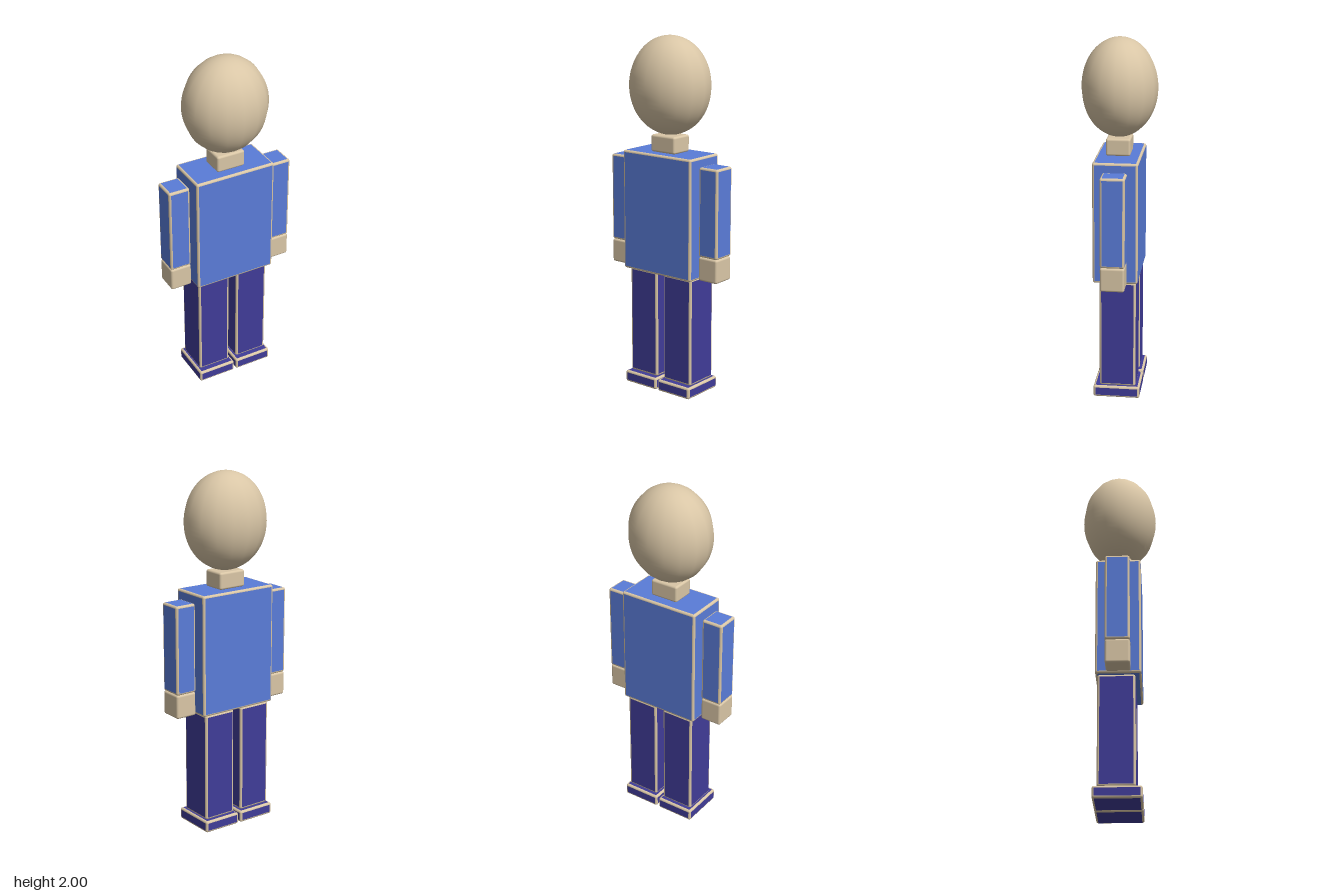
import * as THREE from 'three';
import { RoundedBoxGeometry } from 'three/addons/geometries/RoundedBoxGeometry.js';

const BEVEL = 0.012;

const material = (name, color) => {
  const m = new THREE.MeshStandardMaterial({ color });
  m.name = name;
  return m;
};

// Rounded box between two corners; group 0 is the flat faces, group 1 the rounded edges
function bevelledBox(name, [x0, x1], [y0, y1], [z0, z1], face, edge) {
  const half = [(x1 - x0) / 2, (y1 - y0) / 2, (z1 - z0) / 2];
  const geo = new RoundedBoxGeometry(half[0] * 2, half[1] * 2, half[2] * 2, 3, BEVEL);
  const p = geo.attributes.position;
  const flat = [], round = [];
  for (let i = 0; i < p.count; i += 3) {
    const tri = [i, i + 1, i + 2];
    const onFace = [0, 1, 2].some((axis) => [1, -1].some((side) =>
      tri.every((v) => Math.abs(p.getComponent(v, axis) - side * half[axis]) < 1e-5)));
    (onFace ? flat : round).push(...tri);
  }
  geo.setIndex([...flat, ...round]);
  geo.clearGroups();
  geo.addGroup(0, flat.length, 0);
  geo.addGroup(flat.length, round.length, 1);
  const mesh = new THREE.Mesh(geo, [face, edge]);
  mesh.name = name;
  mesh.position.set((x0 + x1) / 2, (y0 + y1) / 2, (z0 + z1) / 2);
  return mesh;
}

export function createModel() {
  const skin = material('skin', 0xd9c6a6);
  const shirt = material('shirt blue', 0x5a7cd8);
  const trousers = material('trouser indigo', 0x403c98);

  const model = new THREE.Group();
  model.name = 'figure';
  const box = (name, x, y, z, face) => model.add(bevelledBox(name, x, y, z, face, skin));

  // Egg-shaped head
  const head = new THREE.Mesh(new THREE.SphereGeometry(1, 16, 32), skin);
  head.name = 'head';
  head.scale.set(0.237, 0.27, 0.208);
  head.position.y = 1.73;
  model.add(head);

  // Neck and torso
  box('neck', [-0.083, 0.083], [1.365, 1.46], [-0.066, 0.068], skin);
  box('torso', [-0.237, 0.237], [0.687, 1.364], [-0.124, 0.123], shirt);

  // Limbs, mirrored left and right
  for (const [side, s] of [['left', 1], ['right', -1]]) {
    const span = (a, b) => (s > 0 ? [a, b] : [-b, -a]);
    box(`${side}Arm`, span(0.249, 0.373), [0.822, 1.318], [-0.068, 0.066], shirt);
    box(`${side}Hand`, span(0.249, 0.373), [0.688, 0.822], [-0.066, 0.066], skin);
    box(`${side}Leg`, span(0.024, 0.216), [0.07, 0.687], [-0.112, 0.09], trousers);
    box(`${side}Shoe`, span(0.007, 0.231), [0.003, 0.07], [-0.136, 0.124], trousers);
  }
  return model;
}
